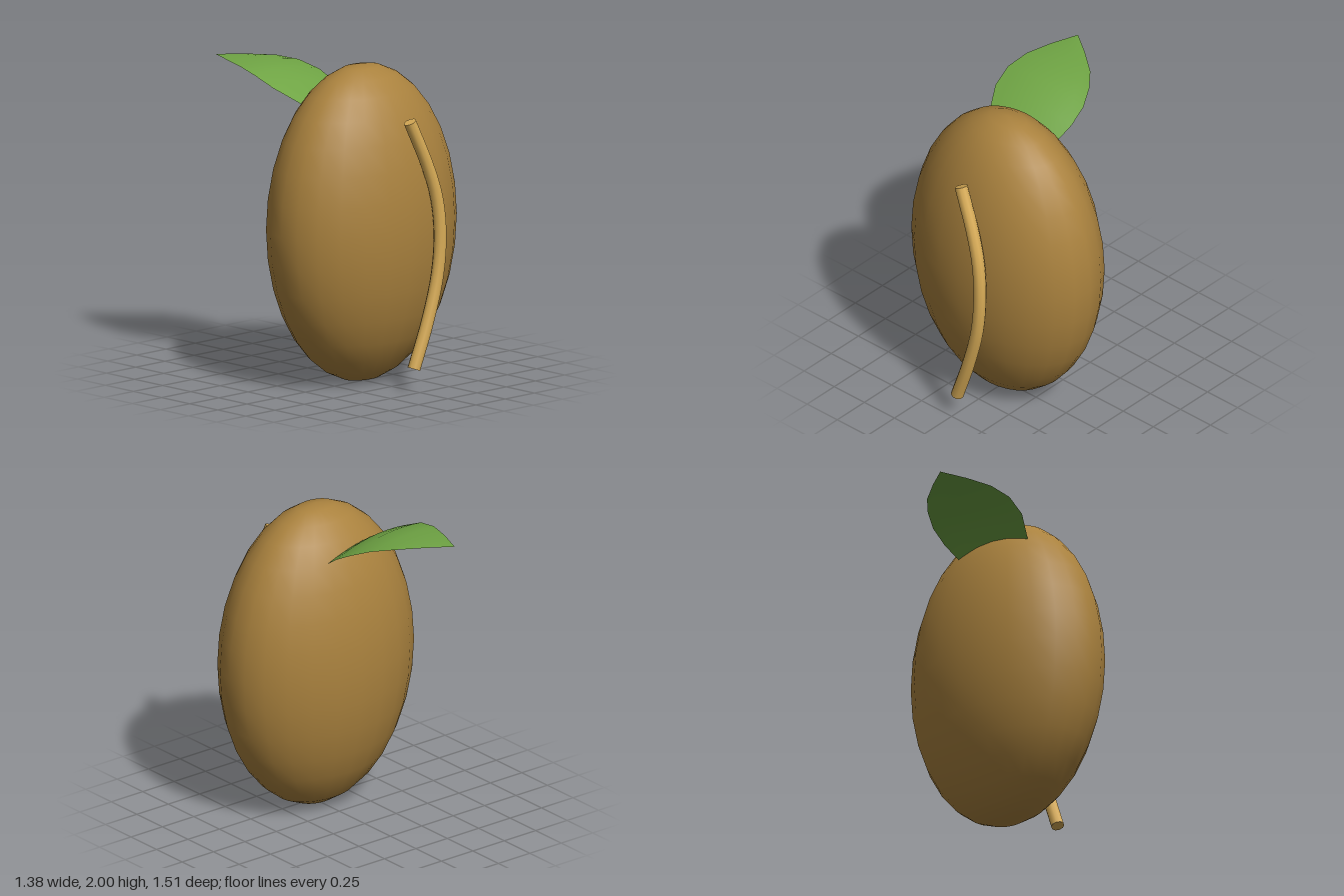
import * as THREE from 'three';

const mat = (name, color, side = THREE.FrontSide) => {
  const m = new THREE.MeshStandardMaterial({ color, side });
  m.name = name;
  return m;
};

function addMesh(parent, name, geometry, material) {
  const mesh = new THREE.Mesh(geometry, material);
  mesh.name = name;
  parent.add(mesh);
  return mesh;
}

// Leaf cross-sections from base to tip: left edge, midrib, right edge
const LEAF_ROWS = [
  [[-0.22, 1.68, 0.10], [-0.08, 1.68, 0.08], [0.07, 1.64, 0.05]],
  [[-0.335, 1.765, 0.03], [-0.10, 1.77, -0.02], [0.145, 1.728, -0.07]],
  [[-0.42, 1.85, -0.12], [-0.13, 1.855, -0.14], [0.165, 1.795, -0.175]],
  [[-0.44, 1.91, -0.26], [-0.15, 1.92, -0.28], [0.15, 1.86, -0.30]],
  [[-0.42, 1.94, -0.41], [-0.17, 1.945, -0.42], [0.09, 1.91, -0.42]],
  [[-0.37, 1.948, -0.58], [-0.20, 1.953, -0.56], [0.00, 1.935, -0.53]],
  [[-0.335, 1.95, -0.67], [-0.25, 1.953, -0.66], [-0.155, 1.947, -0.65]],
  [[-0.305, 1.95, -0.755], [-0.305, 1.95, -0.755], [-0.305, 1.95, -0.755]],
];

// Arched leaf blade: a parabola across each cross-section
function leafGeometry(across = 8) {
  const pos = [], index = [];
  for (const [l, m, r] of LEAF_ROWS) {
    for (let i = 0; i <= across; i++) {
      const t = i / across;
      const a = (1 - t) * (1 - 2 * t), b = 4 * t * (1 - t), c = t * (2 * t - 1);
      for (let k = 0; k < 3; k++) pos.push(l[k] * a + m[k] * b + r[k] * c);
    }
  }
  const w = across + 1;
  for (let j = 0; j < LEAF_ROWS.length - 1; j++) {
    for (let i = 0; i < across; i++) {
      const p = j * w + i;
      index.push(p, p + 1, p + w);
      // the last row meets in a point
      if (j < LEAF_ROWS.length - 2) index.push(p + 1, p + w + 1, p + w);
    }
  }
  const g = new THREE.BufferGeometry();
  g.setAttribute('position', new THREE.Float32BufferAttribute(pos, 3));
  g.setIndex(index);
  g.computeVertexNormals();
  return g;
}

export function createModel() {
  const model = new THREE.Group();
  model.name = 'seedWithLeaf';
  const brown = mat('seed brown', 0xaa823e);
  const tan = mat('stem tan', 0xd8ac57);
  const green = mat('leaf green', 0x6fa444, THREE.DoubleSide);

  // Flattened oval body
  const body = addMesh(model, 'body', new THREE.SphereGeometry(1, 24, 16), brown);
  body.scale.set(0.688, 1, 0.46);
  body.position.set(0, 1, 0.23);

  // Curved strand along the front, closed at both ends
  const strand = new THREE.Group();
  strand.name = 'strand';
  model.add(strand);
  const path = new THREE.CatmullRomCurve3([
    [0, 1.695, 0.662], [0.126, 1.4, 0.69], [0.185, 1.2, 0.707], [0.205, 0.98, 0.717],
    [0.183, 0.72, 0.717], [0.105, 0.43, 0.71], [0, 0.14, 0.697],
  ].map((p) => new THREE.Vector3(...p)));
  const radius = 0.041;
  addMesh(strand, 'strandTube', new THREE.TubeGeometry(path, 24, radius, 10), tan);
  for (const end of [0, 1]) {
    const cap = addMesh(strand, 'strandCap', new THREE.CircleGeometry(radius, 10), tan);
    const point = path.getPointAt(end);
    cap.position.copy(point);
    cap.lookAt(point.clone().addScaledVector(path.getTangentAt(end), end ? 1 : -1));
  }

  // Leaf growing from the upper back
  addMesh(model, 'leaf', leafGeometry(), green);
  return model;
}
